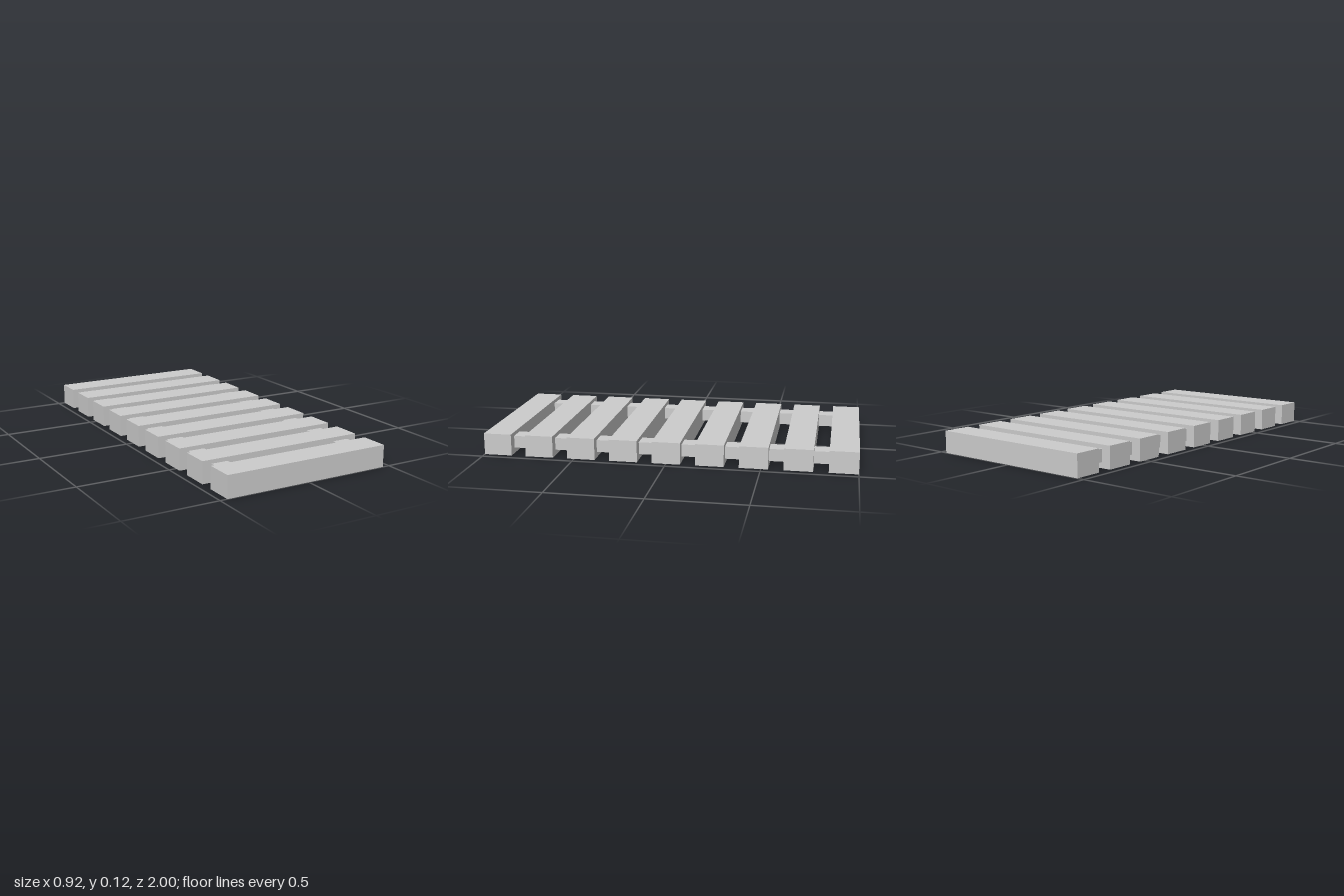
import * as THREE from 'three';

export function createModel() {
  const model = new THREE.Group();
  model.name = 'slattedWalkway';
  const material = new THREE.MeshStandardMaterial({ color: 0xcccccc, flatShading: true });

  const addBox = (name, size, position) => {
    const mesh = new THREE.Mesh(new THREE.BoxGeometry(...size), material);
    mesh.name = name;
    mesh.position.set(...position);
    model.add(mesh);
  };

  // Evenly spaced cross planks
  const count = 9, width = 0.922, height = 0.117, depth = 0.152;
  const pitch = (2 - depth) / (count - 1);
  for (let i = 0; i < count; i++) {
    addBox(`plank${i + 1}`, [width, height, depth], [0, height / 2, 1 - depth / 2 - i * pitch]);
  }

  // Two rails running through the planks, ending inside the outer ones
  for (const [name, side] of [['leftRail', 1], ['rightRail', -1]]) {
    addBox(name, [0.09, 0.066, 2 - depth], [side * 0.365, 0.063, 0]);
  }

  return model;
}
